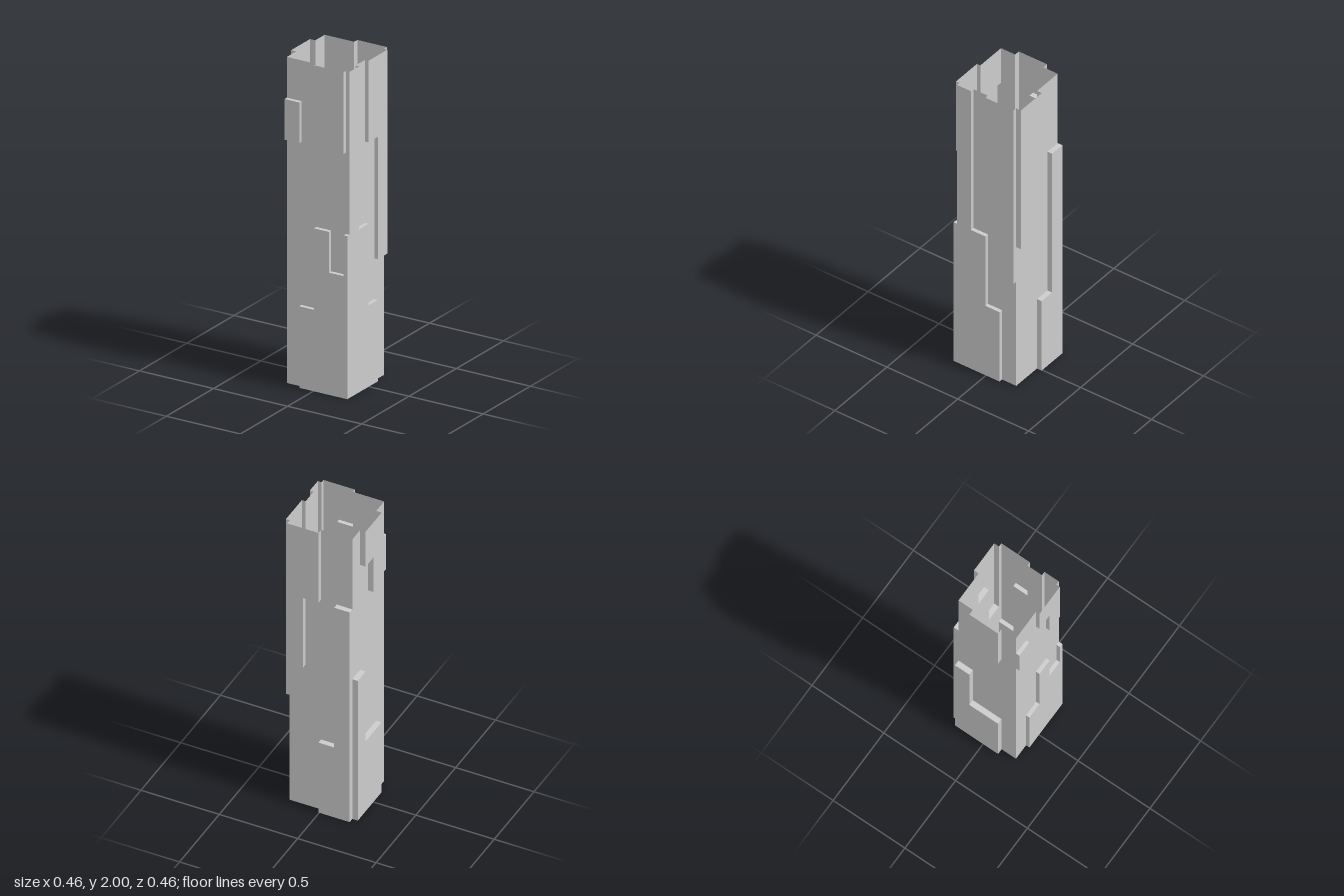
import * as THREE from 'three';

const LEVEL = 0.25; // height of one relief cell, eight cells make the tower

// Each wall is described as seen from outside: column edges from left to right,
// depth of the recessed and the raised surface, and the cells of every column from the ground up
// (1 raised, 0 recessed, - no surface).
const WALLS = [
  {
    name: 'frontWall', turn: 0, recessed: 0.204, raised: 0.228,
    edges: [-0.194, -0.095, 0.005, 0.105, 0.205, 0.229],
    columns: ['00000010', '11000000', '11110001', '11100011', '1111----'], // last one is the corner post
  },
  {
    name: 'leftWall', turn: Math.PI / 2, recessed: 0.205, raised: 0.229,
    edges: [-0.204, -0.104, -0.004, 0.096, 0.196],
    columns: ['11111111', '11110000', '11000011', '00011111'],
    before: '11110000', // joins the corner post
  },
  {
    name: 'backWall', turn: Math.PI, recessed: 0.196, raised: 0.229,
    edges: [-0.205, -0.105, -0.005, 0.095, 0.194],
    columns: ['00001111', '00000011', '11000000', '11111100'],
  },
  {
    name: 'rightWall', turn: -Math.PI / 2, recessed: 0.194, raised: 0.229,
    edges: [-0.196, -0.096, 0.004, 0.104, 0.204],
    columns: ['11110000', '11000001', '11000011', '00000000'],
  },
];

function wallGeometry({ edges, columns, recessed, raised, before = '' }) {
  const positions = [];
  const quad = (a, b, c, d) => positions.push(...a, ...b, ...c, ...a, ...c, ...d);
  const depth = (column, row) => (column?.[row] === '1' ? raised : recessed);

  for (let i = 0; i <= columns.length; i++) {
    const column = columns[i];
    const previous = i === 0 ? before : columns[i - 1];
    const x0 = edges[i], x1 = edges[i + 1];
    for (let row = 0; row < 8; row++) {
      const y0 = row * LEVEL, y1 = y0 + LEVEL;
      const z = depth(column, row);

      // upright step between this column and the one before it
      const zPrev = depth(previous, row);
      if (z !== zPrev) quad([x0, y0, zPrev], [x0, y0, z], [x0, y1, z], [x0, y1, zPrev]);
      if (!column) continue;

      // face of the cell
      if (column[row] !== '-') quad([x0, y0, z], [x1, y0, z], [x1, y1, z], [x0, y1, z]);

      // ledge towards the cell above
      const zUp = row < 7 ? depth(column, row + 1) : z;
      if (zUp !== z) quad([x0, y1, z], [x1, y1, z], [x1, y1, zUp], [x0, y1, zUp]);
    }
  }
  const geometry = new THREE.BufferGeometry();
  geometry.setAttribute('position', new THREE.Float32BufferAttribute(positions, 3));
  geometry.computeVertexNormals();
  return geometry;
}

export function createModel() {
  const tower = new THREE.Group();
  tower.name = 'tower';
  const material = new THREE.MeshStandardMaterial({
    color: 0xcccccc, flatShading: true, side: THREE.DoubleSide,
  });

  // four thin relief walls, open at the top and the bottom
  for (const wall of WALLS) {
    const mesh = new THREE.Mesh(wallGeometry(wall), material);
    mesh.name = wall.name;
    mesh.rotation.y = wall.turn;
    tower.add(mesh);
  }
  return tower;
}
